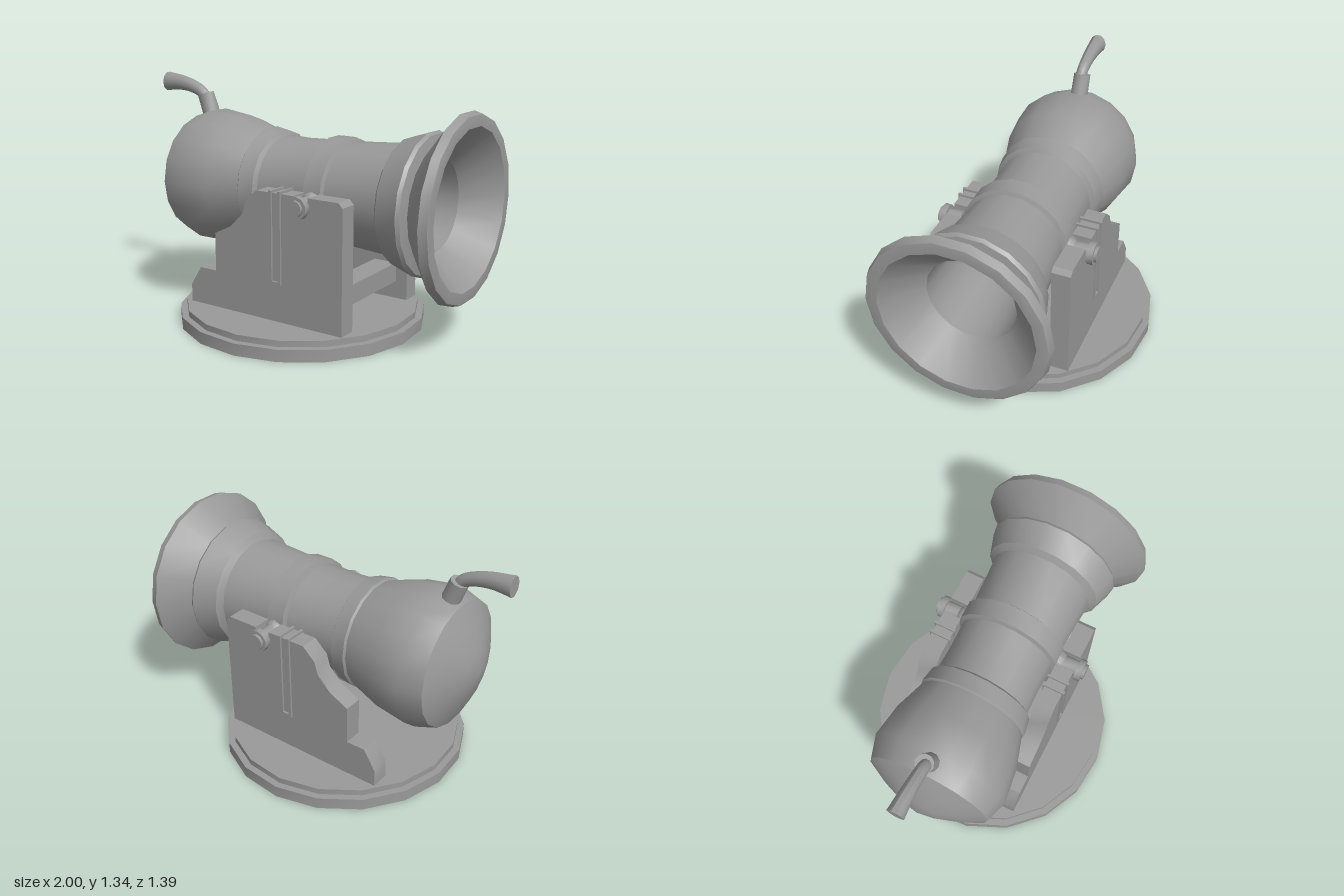
import * as THREE from 'three';
import { toCreasedNormals } from 'three/addons/utils/BufferGeometryUtils.js';

const material = new THREE.MeshStandardMaterial({ color: 0x999999 });
const AXIS_Y = 0.755;

function add(parent, name, geometry, x = 0, y = 0, z = 0) {
  const mesh = new THREE.Mesh(toCreasedNormals(geometry, 0.65), material);
  mesh.name = name;
  mesh.position.set(x, y, z);
  parent.add(mesh);
  return mesh;
}

function addBox(parent, name, x0, x1, y0, y1, z0, z1) {
  const box = new THREE.BoxGeometry(x1 - x0, y1 - y0, z1 - z0);
  return add(parent, name, box, (x0 + x1) / 2, (y0 + y1) / 2, (z0 + z1) / 2);
}

// Round stepped base, 18 sides
function buildBase(parent) {
  const disc = (r, h) => new THREE.CylinderGeometry(r, r, h, 18, 1, false, THREE.MathUtils.degToRad(5));
  add(parent, 'basePlate', disc(0.697, 0.066), -0.02, 0.033, 0);
  add(parent, 'baseStep', disc(0.66, 0.04), -0.02, 0.08, 0);
}

// Barrel: one turned profile of [x, radius], outside then back down the bore
function buildBarrel(parent) {
  const profile = [
    [-0.87, 0], [-0.845, 0.11], [-0.8, 0.23], [-0.74, 0.348],
    [-0.62, 0.388], [-0.43, 0.362], [-0.247, 0.304],
    [-0.237, 0.315], [-0.15, 0.3], [-0.135, 0.276],
    [0, 0.271], [0.17, 0.277],
    [0.18, 0.302], [0.285, 0.302], [0.295, 0.28],
    [0.61, 0.3], [0.635, 0.337], [0.77, 0.382], [0.788, 0.37], [0.8, 0.31],
    [0.95, 0.495], [0.993, 0.482], [0.995, 0.475],
    [0.995, 0.421], [0.81, 0.245], [0.3, 0.217], [0.3, 0],
  ].map(([x, r]) => new THREE.Vector2(r, x));
  add(parent, 'barrel', new THREE.LatheGeometry(profile, 18).rotateZ(-Math.PI / 2), 0, AXIS_Y, 0);
}

// Side cheek with its strap and trunnion, for one side (s = 1 or -1)
function buildSide(parent, s) {
  // The top edge has a round-bottomed notch for the trunnion
  const outline = [
    [-0.51, 0.1], [0.49, 0.1], [0.49, 0.775], [0.465, 0.8],
    [0.28, 0.8], [0.28, 0.745], [0.265, 0.715], [0.235, 0.702], [0.205, 0.715], [0.19, 0.745], [0.19, 0.8],
    [-0.045, 0.8], [-0.12, 0.73], [-0.14, 0.66], [-0.22, 0.58], [-0.33, 0.525],
    [-0.33, 0.31], [-0.44, 0.31], [-0.51, 0.2],
  ].map(([x, y]) => new THREE.Vector2(x, y));
  const cheek = new THREE.ExtrudeGeometry(new THREE.Shape(outline), { depth: 0.105, bevelEnabled: false });
  add(parent, 'cheek', cheek, 0, 0, s > 0 ? 0.293 : -0.398);

  // Strap: two rails joined at the bottom, wrapping over the cheek
  const z0 = Math.min(s * 0.284, s * 0.41), z1 = Math.max(s * 0.284, s * 0.41);
  addBox(parent, 'strapRail', 0.043, 0.059, 0.31, 0.813, z0, z1);
  addBox(parent, 'strapRail', 0.1, 0.116, 0.31, 0.813, z0, z1);
  addBox(parent, 'strapFoot', 0.059, 0.1, 0.31, 0.325, z0, z1);

  // Trunnion: flared pin, nut and end stub
  const pin = [
    [0, 0.24], [0.062, 0.24], [0.06, 0.305], [0.044, 0.325], [0.044, 0.405],
    [0.062, 0.405], [0.062, 0.44], [0.044, 0.44], [0.044, 0.456], [0, 0.456],
  ].map(([r, h]) => new THREE.Vector2(r, h));
  add(parent, 'trunnion', new THREE.LatheGeometry(pin, 10).rotateX(s * Math.PI / 2), 0.235, 0.748, 0);
}

// Fuse: a leaning socket and a curved cord that widens to its end
function buildFuse(parent) {
  const socket = add(parent, 'fuseSocket', new THREE.CylinderGeometry(0.049, 0.052, 0.18, 10), -0.682, 1.14, 0);
  socket.rotation.z = 0.36;

  const path = new THREE.CatmullRomCurve3([
    [-0.70, 1.19], [-0.73, 1.23], [-0.8, 1.262], [-0.89, 1.28], [-1, 1.283],
  ].map(([x, y]) => new THREE.Vector3(x, y, 0)));
  const steps = 14, sides = 10;
  const cord = new THREE.TubeGeometry(path, steps, 1, sides);
  const pos = cord.attributes.position, v = new THREE.Vector3();
  for (let i = 0; i <= steps; i++) {
    const t = i / steps, centre = path.getPointAt(t);
    for (let j = 0; j <= sides; j++) {
      const k = i * (sides + 1) + j;
      v.fromBufferAttribute(pos, k).sub(centre).multiplyScalar(0.034 + 0.023 * t * t);
      pos.setXYZ(k, centre.x + v.x, centre.y + v.y, v.z * (1 - 0.16 * t));
    }
  }
  add(parent, 'fuseCord', cord, 0, 0, 0.007);
  const cap = new THREE.CircleGeometry(0.057, sides).scale(0.84, 1, 1).rotateY(-Math.PI / 2);
  add(parent, 'fuseEnd', cap, -0.999, 1.283, 0.007);
}

export function createModel() {
  const model = new THREE.Group();
  model.name = 'cannon';
  buildBase(model);

  // Everything above the base is turned very slightly
  const gun = new THREE.Group();
  gun.name = 'gunAndCarriage';
  gun.position.z = -0.008;
  gun.rotation.y = 0.0155;
  model.add(gun);

  buildBarrel(gun);
  for (const s of [1, -1]) buildSide(gun, s);
  addBox(gun, 'crossBeam', 0.28, 0.42, 0.2, 0.31, -0.3, 0.3);
  buildFuse(gun);
  return model;
}
